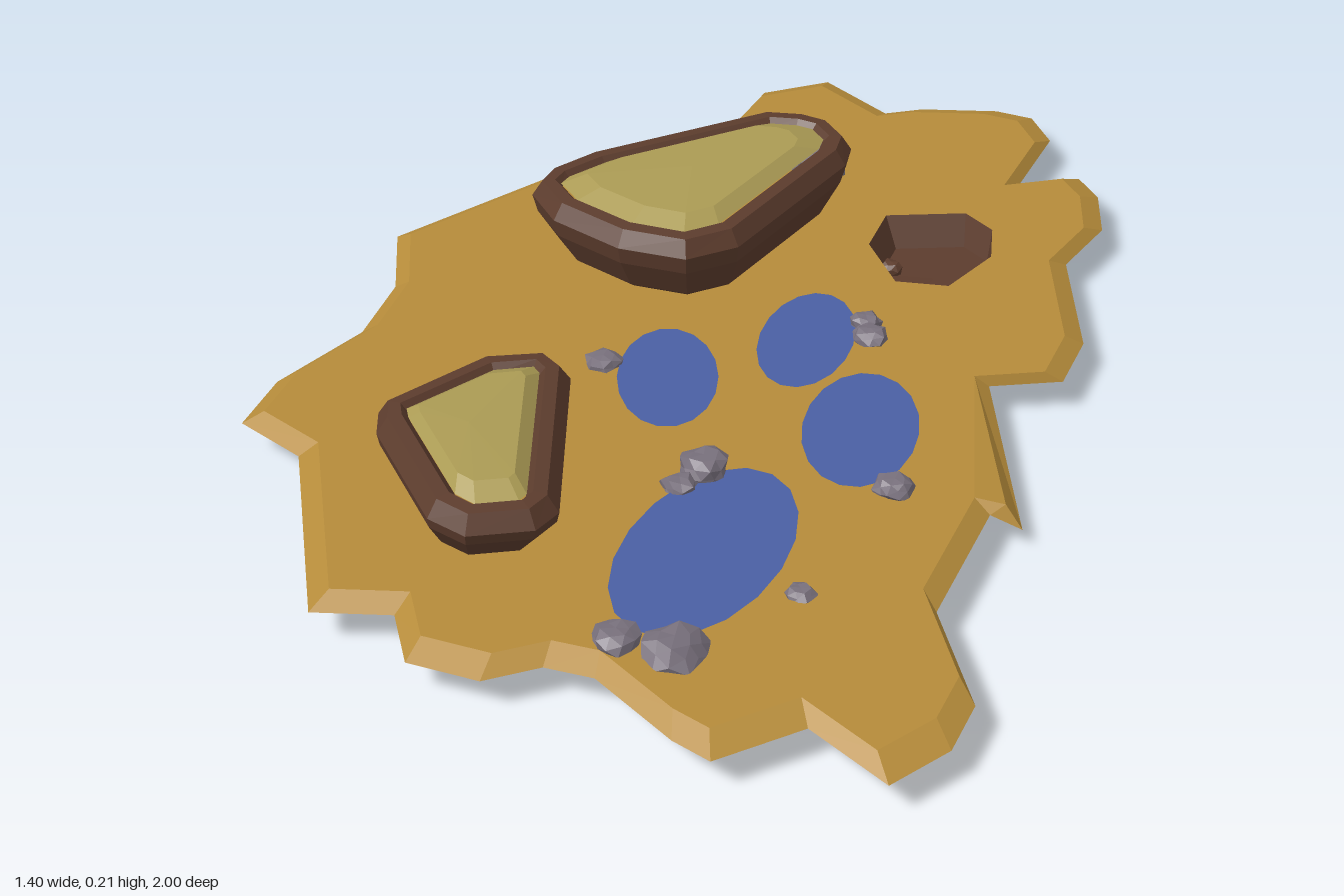
import * as THREE from 'three';

const mat = (color, side = THREE.FrontSide) =>
  new THREE.MeshStandardMaterial({ color, flatShading: true, side });
const earth = mat(0xb58b3a);
const wood = mat(0x5c3c2d);
const pitMat = mat(0x5c3c2d, THREE.DoubleSide);
const soil = mat(0xab9b54);
const water = mat(0x4a5fa3, THREE.DoubleSide);
const stone = mat(0x78707c);

// Outlines run clockwise seen from above, given in hundredths as x, z pairs
const outline = (list) => {
  const pts = [];
  for (let i = 0; i < list.length; i += 2) pts.push(new THREE.Vector2(list[i] / 100, list[i + 1] / 100));
  return pts;
};

const groundEdge = outline([
  21, -100, 32, -88, 39, -90, 53, -90, 59.5, -87.5, 62.5, -79, 56, -62, 67, -65, 70, -58.5, 70, -47,
  63, -35, 64.5, -10, 60.5, 1.5, 48.5, 3.5, 52.5, 39, 47.5, 38.5, 39, 62.5, 44, 83, 40.5, 92.5, 32, 100,
  21, 89, 8, 96.5, 2.5, 92.5, -9, 80, -16.5, 78, -25, 81.5, -36, 78, -39, 67.5, -51.5, 67.5, -59.5, 29,
  -70, 20.5, -66.5, 8.5, -55, -7, -51.5, -21.5, -53.5, -38, -25, -64, -17, -67.5, 3.5, -81.5, 9, -95]);
const pitEdge = outline([32, -47, 46, -48.5, 50.5, -43, 50, -34, 42.5, -24, 33.5, -25, 29, -37]);
const largeEdge = outline([
  10, -62.5, 17, -62, 22, -59.5, 25.5, -53, 24.5, -47, 7, -18.5, -1.5, -14, -13, -17, -24.5, -25.5,
  -29, -34, -27, -39.5, -20, -46]);
const smallEdge = outline([
  -31.5, 17.5, -21.5, 16, -17.5, 20.5, -16, 55.5, -19, 60, -29, 62, -35, 58, -45.5, 37, -46, 31.5]);

const centreOf = (pts) => new THREE.Box2().setFromPoints(pts).getCenter(new THREE.Vector2());

// Scales an outline about its centre and moves it inward by a distance
function ringOf(pts, scale, inset = 0) {
  const c = centreOf(pts);
  return pts.map((p, i) => {
    const n = pts.length;
    const a = p.clone().sub(pts[(i + n - 1) % n]).normalize();
    const b = pts[(i + 1) % n].clone().sub(p).normalize();
    const inward = new THREE.Vector2(-a.y - b.y, a.x + b.x).normalize();
    return p.clone().addScaledVector(inward, inset).sub(c).multiplyScalar(scale).add(c);
  });
}

// Skins a stack of rings, listed from bottom to top as [points, y]
function loft(rings) {
  const pos = [];
  for (let r = 0; r < rings.length - 1; r++) {
    const [lo, y0] = rings[r], [hi, y1] = rings[r + 1];
    lo.forEach((a, i) => {
      const j = (i + 1) % lo.length, b = lo[j], c = hi[i], d = hi[j];
      pos.push(a.x, y0, a.y, c.x, y1, c.y, b.x, y0, b.y);
      pos.push(b.x, y0, b.y, c.x, y1, c.y, d.x, y1, d.y);
    });
  }
  const g = new THREE.BufferGeometry();
  g.setAttribute('position', new THREE.Float32BufferAttribute(pos, 3));
  g.computeVertexNormals();
  return g;
}

// Flat sheet with the pit cut out, facing up or down
function sheet(pts, y, up) {
  const s = up ? -1 : 1;
  const flip = (p) => new THREE.Vector2(p.x, p.y * s);
  const shape = new THREE.Shape(pts.map(flip));
  shape.holes.push(new THREE.Path(pitEdge.map(flip)));
  return new THREE.ShapeGeometry(shape).rotateX(s * Math.PI / 2).translate(0, y, 0);
}

// Lets one corner of the ground sag
function sag(g) {
  const p = g.attributes.position;
  for (let i = 0; i < p.count; i++) {
    const d = Math.hypot(p.getX(i) - 0.525, p.getZ(i) - 0.39);
    p.setY(i, p.getY(i) - 0.022 * Math.max(0, 1 - d / 0.05));
  }
  g.computeVertexNormals();
  return g;
}

function rockGeometry(seed) {
  const g = new THREE.IcosahedronGeometry(1, 1);
  const p = g.attributes.position, v = new THREE.Vector3();
  for (let i = 0; i < p.count; i++) {
    v.fromBufferAttribute(p, i);
    const k = 0.95 + 0.14 * Math.sin(v.x * 4.1 + v.y * 5.3 + v.z * 3.7 + seed * 2.3);
    p.setXYZ(i, v.x * k, THREE.MathUtils.clamp(v.y * k, -0.85, 0.8), v.z * k);
  }
  g.computeVertexNormals();
  return g;
}

export function createModel() {
  const model = new THREE.Group();
  const add = (name, geometry, material, parent = model) => {
    const m = new THREE.Mesh(geometry, material);
    m.name = name;
    parent.add(m);
    return m;
  };

  // Ground slab with bevelled edge
  const ground = new THREE.Group();
  ground.name = 'ground';
  model.add(ground);
  const topEdge = groundEdge.map((p) => p.clone().multiplyScalar(0.95));
  add('groundTop', sag(sheet(topEdge, 0.074, true)), earth, ground);
  add('groundUnderside', sag(sheet(groundEdge, 0.056, false)), earth, ground);
  add('groundBevel', sag(loft([[groundEdge, 0.056], [topEdge, 0.074]])), earth, ground);

  // Sunken pit with a small stone in it
  const shift = (pts) => pts.map((p) => new THREE.Vector2(p.x + 0.008, p.y + 0.012));
  add('pit', loft([[shift(ringOf(pitEdge, 0)), 0.02], [shift(ringOf(pitEdge, 0.86)), 0.022], [pitEdge, 0.074]]), pitMat);
  const pebble = add('pitStone', rockGeometry(3), wood);
  pebble.scale.set(0.022, 0.024, 0.022);
  pebble.position.set(0.33, 0.021, -0.37);

  // Raised beds: tapering bowl, rim, domed soil
  const beds = [
    ['largeBed', largeEdge, 0.022, 0.2, [0.25, 0.7, 0.84]],
    ['smallBed', smallEdge, 0.04, 0.188, [0.25, 0.55, 0.74]],
  ];
  for (const [name, edge, base, top, [s0, s1, s2]] of beds) {
    const bed = new THREE.Group();
    bed.name = name;
    model.add(bed);
    add('bowl', loft([
      [ringOf(edge, 0), base], [ringOf(edge, s0), base + 0.004], [ringOf(edge, s1), 0.055],
      [ringOf(edge, s2), 0.082], [ringOf(edge, 0.97), 0.14], [ringOf(edge, 1), top - 0.028],
      [ringOf(edge, 1, 0.018), top], [ringOf(edge, 1, 0.04), top + 0.002], [ringOf(edge, 1, 0.052), top - 0.012],
    ]), wood, bed);
    add('soil', loft([
      [ringOf(edge, 1, 0.05), top - 0.006], [ringOf(edge, 0.8, 0.05), top + 0.01], [ringOf(edge, 0), top + 0.013],
    ]), soil, bed);
  }

  // Ponds: x, z, half width, half length, turn
  const ponds = [
    [-0.033, 0.065, 0.082, 0.143, 0.05], [0.188, -0.058, 0.078, 0.145, -0.18],
    [0.278, 0.195, 0.092, 0.158, -0.1], [0.05, 0.52, 0.122, 0.218, -0.35],
  ];
  for (const [x, z, w, l, turn] of ponds) {
    const pond = add('pond', new THREE.CircleGeometry(1, 18).rotateX(-Math.PI / 2), water);
    pond.scale.set(w, 1, l);
    pond.rotation.y = turn;
    pond.position.set(x, 0.0765, z);
  }

  // Rocks: x, y, z, radius, half height
  const rocks = [
    [0.2, 0.1, -0.615, 0.053, 0.032], [-0.14, 0.069, 0.025, 0.035, 0.021], [-0.265, 0.085, 0.165, 0.044, 0.027],
    [0.285, 0.078, -0.11, 0.027, 0.018], [0.293, 0.078, -0.07, 0.031, 0.018], [0.33, 0.077, 0.35, 0.034, 0.019],
    [0.038, 0.08, 0.318, 0.041, 0.028], [0.003, 0.072, 0.36, 0.031, 0.022], [0.193, 0.069, 0.615, 0.026, 0.018],
    [-0.065, 0.073, 0.735, 0.038, 0.026], [0.02, 0.071, 0.755, 0.053, 0.035],
  ];
  rocks.forEach(([x, y, z, r, h], i) => {
    const rock = add('rock', rockGeometry(i), stone);
    rock.scale.set(r, h * 1.1, r);
    rock.rotation.y = i * 1.3;
    rock.position.set(x, y, z);
  });

  return model;
}
